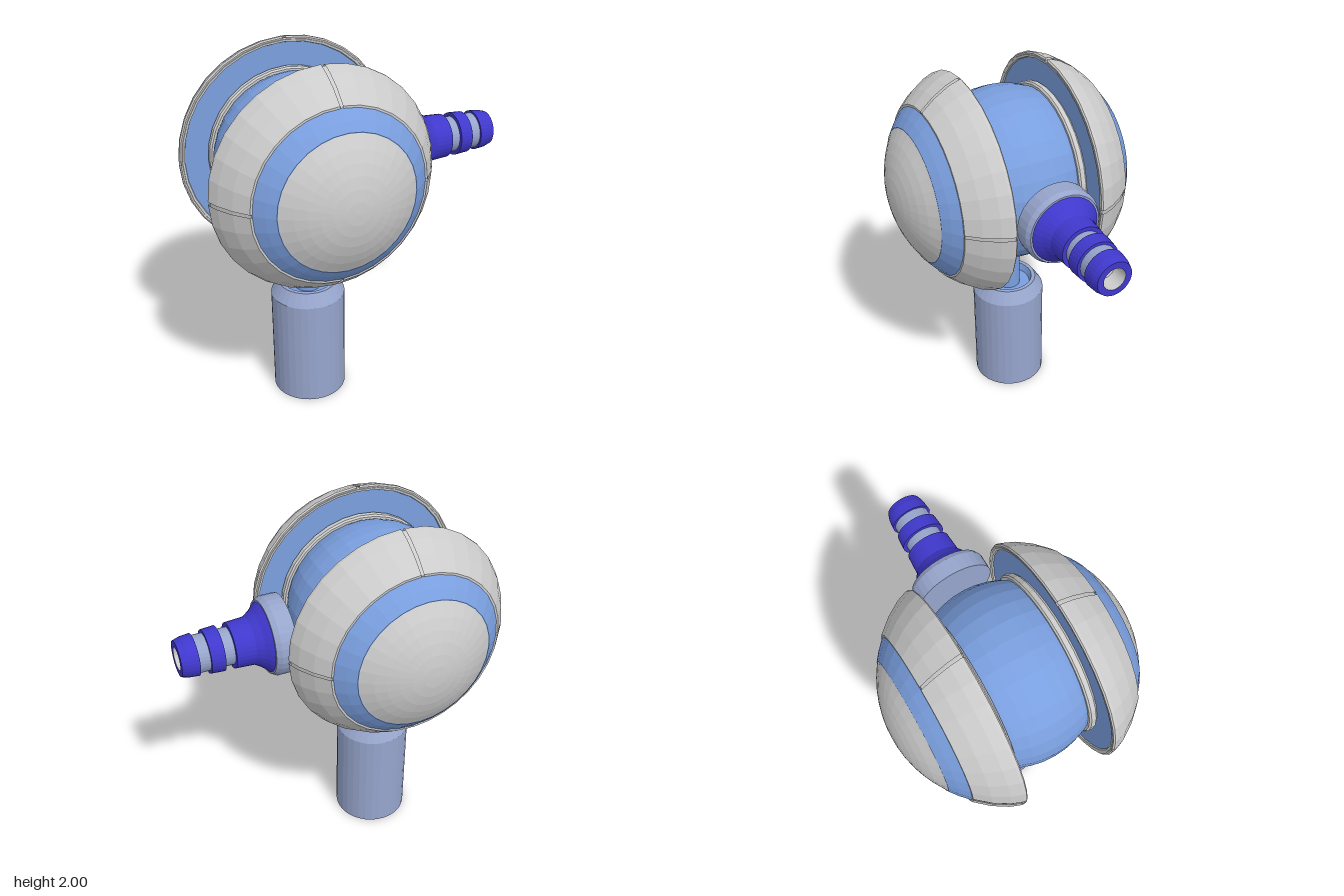
import * as THREE from 'three';

const mat = (color) => new THREE.MeshStandardMaterial({ color, flatShading: true, side: THREE.DoubleSide });

export function createModel() {
  const grey = mat(0xcccccc), blue = mat(0x7a9fdf), steel = mat(0x97a5cc), navy = mat(0x3f38cc);
  const model = new THREE.Group();
  model.name = 'model';

  // Turned part: profile of [radius, height], listed bottom to top
  function turned(name, profile, material, parent, segs = 32, start = 0, length = Math.PI * 2) {
    const pts = profile.map(([r, y]) => new THREE.Vector2(r, y));
    const mesh = new THREE.Mesh(new THREE.LatheGeometry(pts, segs, start, length), material);
    mesh.name = name;
    parent.add(mesh);
    return mesh;
  }
  // Circular arc profile on a sphere, between two heights
  function arc(radius, y0, y1, steps, cy = 0) {
    const a0 = Math.asin((y0 - cy) / radius), a1 = Math.asin((y1 - cy) / radius);
    return Array.from({ length: steps + 1 }, (_, i) => {
      const a = a0 + (a1 - a0) * i / steps;
      return [Math.max(0, radius * Math.cos(a)), cy + radius * Math.sin(a)];
    });
  }

  // Head: ball with a domed side assembly at the front and back
  const head = new THREE.Group();
  head.name = 'head';
  head.position.set(-0.25, 1.4, 0);
  model.add(head);
  turned('ball', arc(0.473, -0.24, 0.24, 8), blue, head).rotation.x = Math.PI / 2;

  for (const [i, label] of ['front', 'back'].entries()) {
    const turn = new THREE.Group();
    turn.name = label + 'Side';
    turn.rotation.y = i * Math.PI;
    head.add(turn);
    const side = new THREE.Group();
    side.rotation.x = Math.PI / 2;
    turn.add(side);

    turned('trimRing', [[0.42, 0.205], [0.438, 0.205], [0.447, 0.213], [0.447, 0.238], [0.435, 0.25]], grey, side);
    turned('innerDisc', [[0.4, 0.25], [0.59, 0.25]], blue, side);
    turned('shoulder', [[0.44, 0.45], [0.458, 0.465], [0.41, 0.51], [0.365, 0.545], [0.3, 0.545]], blue, side);

    // Outer shell in four panels, with a backing that shows in the seams
    const shell = [[0.578, 0.252], [0.582, 0.242], [0.594, 0.24], [0.601, 0.247], [0.6, 0.262],
      [0.578, 0.318], [0.53, 0.395], [0.468, 0.466], [0.455, 0.466]];
    turned('shellBacking', shell.map(([r, y]) => [r - 0.01, y - (y > 0.3 ? 0.006 : 0)]), grey, side);
    const gap = 0.03;
    for (let q = 0; q < 4; q++) {
      turned('shellPanel', shell, grey, side, 8, q * Math.PI / 2 + gap / 2, Math.PI / 2 - gap);
    }

    // Domed cap
    const dome = arc(0.62, 0.552, 0.66, 6, 0.04).map(([r, y]) => [r, y]);
    turned('cap', [[0, 0.535], [0.355, 0.535], [0.365, 0.543], ...dome], grey, side);
  }

  // Nozzle pointing to the left side
  const nozzle = new THREE.Group();
  nozzle.name = 'nozzle';
  nozzle.position.y = 1.4;
  nozzle.rotation.z = -Math.PI / 2;
  model.add(nozzle);
  turned('nozzleCollar', [[0, 0.28], [0.21, 0.28], [0.21, 0.365], [0.195, 0.392], [0.17, 0.392]], steel, nozzle);
  turned('nozzleFlare', [[0.17, 0.385], [0.185, 0.392], [0.15, 0.43], [0.126, 0.468], [0.12, 0.572], [0.08, 0.572]], navy, nozzle);
  turned('nozzlePipe', [[0.098, 0.56], [0.098, 0.77]], steel, nozzle);
  turned('barb', [[0.09, 0.628], [0.119, 0.628], [0.114, 0.7], [0.09, 0.7]], navy, nozzle);
  turned('nozzleTip', [[0.09, 0.757], [0.11, 0.757], [0.105, 0.81], [0.094, 0.847], [0.06, 0.847]], navy, nozzle);
  turned('nozzleBore', [[0.06, 0.847], [0.055, 0.76], [0, 0.74]], grey, nozzle);

  // Stand: base with a recessed top, stem and neck flange
  const stand = new THREE.Group();
  stand.name = 'stand';
  stand.position.x = -0.25;
  model.add(stand);
  turned('base', [[0, 0], [0.205, 0], [0.205, 0.615], [0.16, 0.685], [0.138, 0.685]], steel, stand);
  turned('baseRecess', [[0.138, 0.685], [0.125, 0.645], [0, 0.645]], blue, stand);
  turned('stem', [[0.07, 0.64], [0.07, 0.94]], blue, stand);
  turned('neckFlange', [[0.07, 0.905], [0.135, 0.925], [0.135, 0.942], [0.06, 0.955]], steel, stand);

  return model;
}
